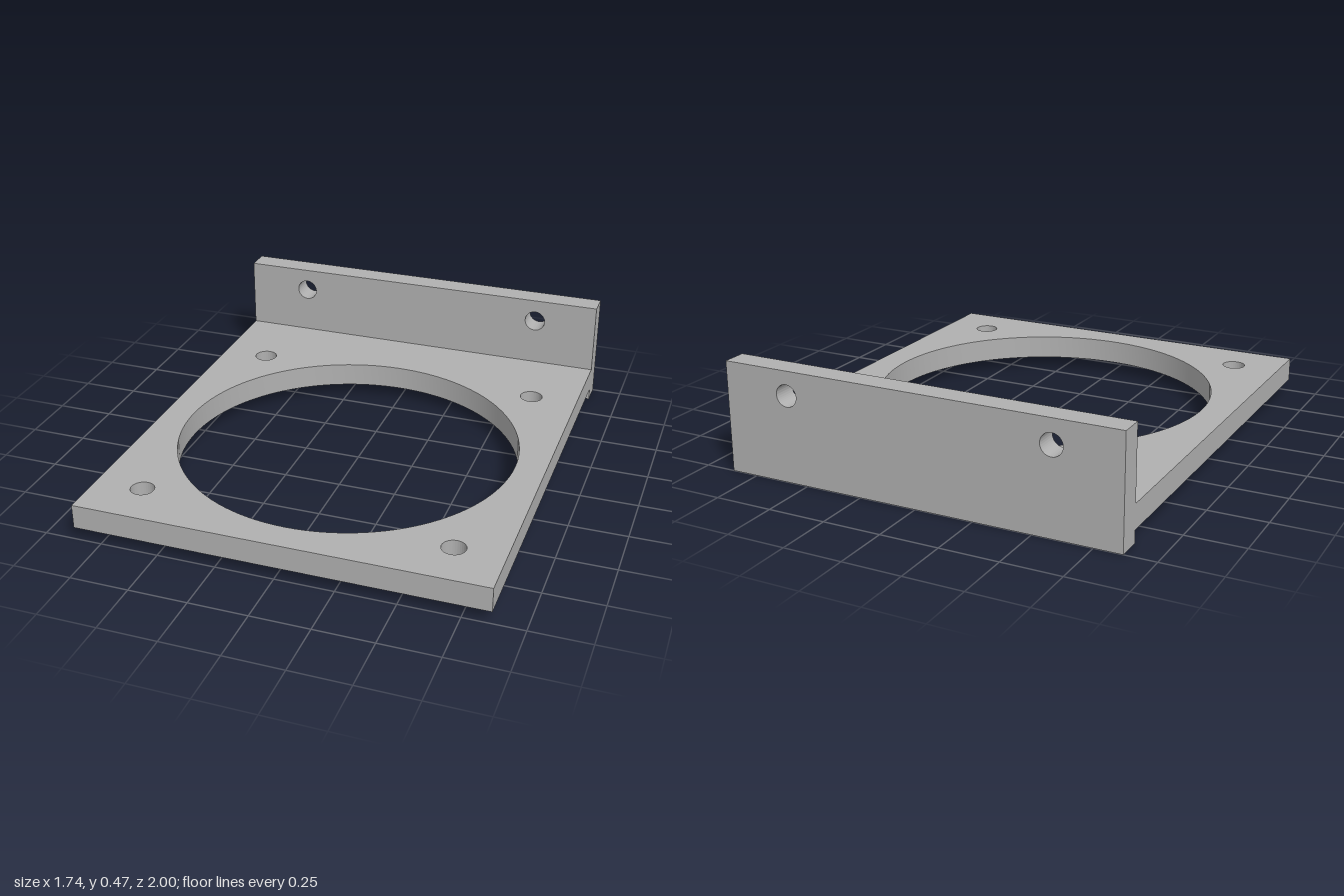
import * as THREE from 'three';
import { toCreasedNormals } from 'three/addons/utils/BufferGeometryUtils.js';

const HALF_WIDTH = 0.868;
const THICKNESS = 0.105;

// Rectangular slab between two heights, pierced by round holes [x, y, radius]
function piercedSlab(bottom, top, holes) {
  const shape = new THREE.Shape([
    new THREE.Vector2(-HALF_WIDTH, bottom),
    new THREE.Vector2(HALF_WIDTH, bottom),
    new THREE.Vector2(HALF_WIDTH, top),
    new THREE.Vector2(-HALF_WIDTH, top),
  ]);
  for (const [x, y, radius] of holes) {
    shape.holes.push(new THREE.Path().absarc(x, y, radius, 0, Math.PI * 2, true));
  }
  const geometry = new THREE.ExtrudeGeometry(shape, {
    depth: THICKNESS, bevelEnabled: false, curveSegments: 64,
  });
  return toCreasedNormals(geometry, Math.PI / 6);
}

export function createModel() {
  const model = new THREE.Group();
  model.name = 'mountingBracket';
  const grey = new THREE.MeshStandardMaterial({ color: 0xb0b0b0 });
  grey.name = 'grey';

  // Horizontal plate: large opening with four screw holes around it
  const openingZ = 0.13;
  const plateHoles = [[0, -openingZ, 0.738]];
  for (const sx of [-1, 1]) {
    for (const sz of [-1, 1]) {
      plateHoles.push([sx * 0.659, -(openingZ + sz * 0.659), 0.05]);
    }
  }
  const plate = new THREE.Mesh(piercedSlab(-1, 1 - THICKNESS, plateHoles), grey);
  plate.name = 'basePlate';
  plate.rotation.x = -Math.PI / 2;
  plate.position.y = 0.053;

  // Upright flange along the back edge with two screw holes
  const flangeHoles = [-1, 1].map((s) => [s * 0.58, 0.37, 0.047]);
  const flange = new THREE.Mesh(piercedSlab(0, 0.474, flangeHoles), grey);
  flange.name = 'backFlange';
  flange.position.z = -1;

  model.add(plate, flange);
  return model;
}
